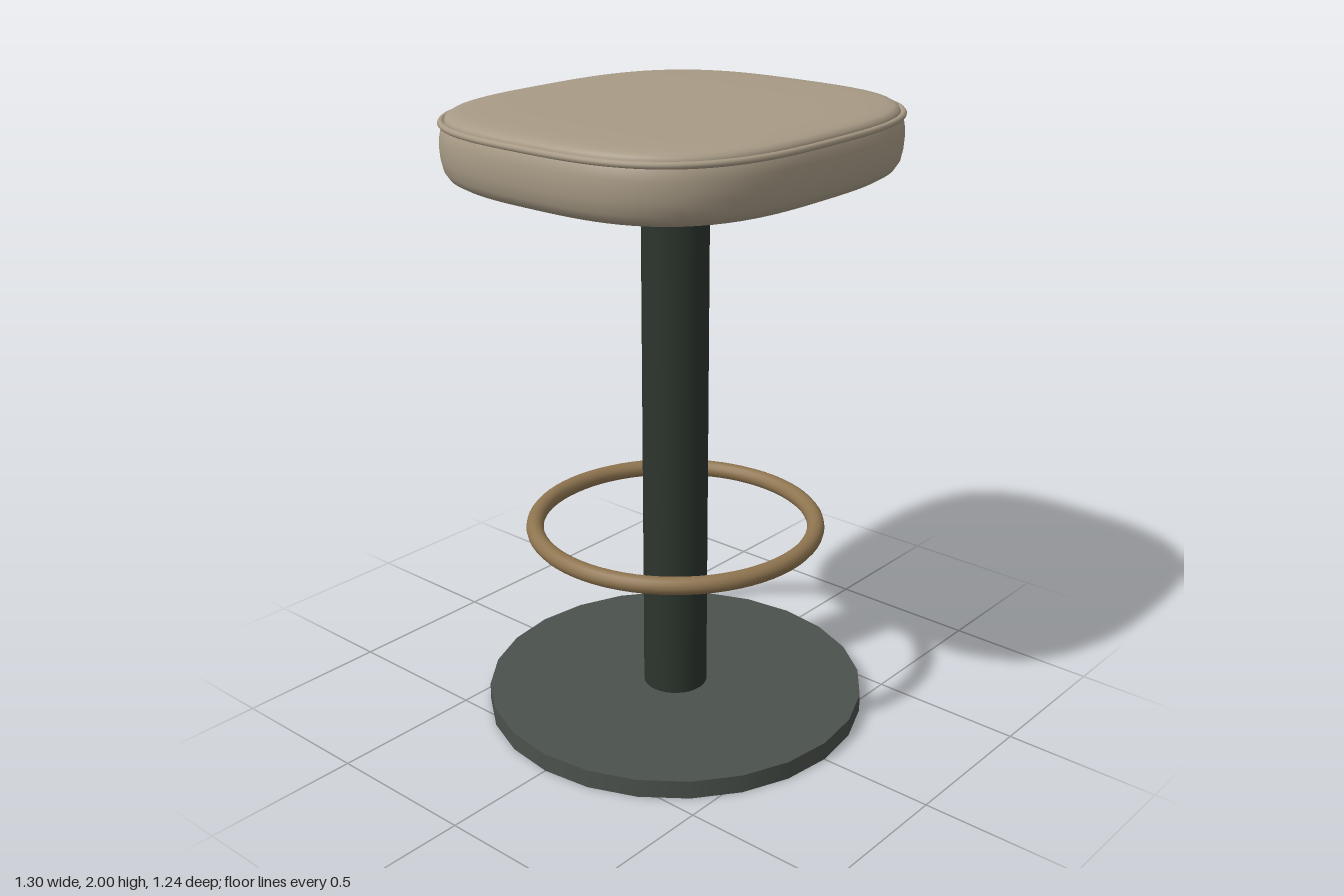
import * as THREE from 'three';
import { mergeVertices } from 'three/addons/utils/BufferGeometryUtils.js';

const HALF_W = 0.65, HALF_D = 0.59, POWER = 3;

// Point on the squarish seat outline, scaled about the centre
function outline(angle, scale = 1) {
  const c = Math.cos(angle), s = Math.sin(angle);
  const r = scale / Math.pow(Math.abs(c) ** POWER + Math.abs(s) ** POWER, 1 / POWER);
  return [HALF_W * r * c, HALF_D * r * s];
}

// Revolve a profile, then push every ring out to the seat outline
function cushion(profile) {
  const geo = new THREE.LatheGeometry(profile.map(([r, y]) => new THREE.Vector2(r, y)), 96);
  const pos = geo.attributes.position;
  for (let i = 0; i < pos.count; i++) {
    const x = pos.getX(i), z = pos.getZ(i);
    const [nx, nz] = outline(Math.atan2(z, x), Math.hypot(x, z));
    pos.setXYZ(i, nx, pos.getY(i), nz);
  }
  geo.deleteAttribute('uv');
  geo.deleteAttribute('normal');
  const merged = mergeVertices(geo, 1e-5);
  merged.computeVertexNormals();
  return merged;
}

export function createModel() {
  const group = new THREE.Group();
  const material = (name, color) => {
    const m = new THREE.MeshStandardMaterial({ color });
    m.name = name;
    return m;
  };
  const leather = material('taupe leather', 0xa89b86);
  const postMetal = material('dark green metal', 0x2c352d);
  const baseMetal = material('grey metal', 0x4b514c);
  const brass = material('aged brass', 0x8f7550);

  const add = (name, geo, mat, y = 0) => {
    const mesh = new THREE.Mesh(geo, mat);
    mesh.name = name;
    mesh.position.y = y;
    group.add(mesh);
    return mesh;
  };

  // Base disc and post
  add('base', new THREE.CylinderGeometry(0.622, 0.622, 0.06, 24), baseMetal, 0.03);
  add('post', new THREE.CylinderGeometry(0.105, 0.105, 1.75, 32), postMetal, 0.925);

  // Foot ring
  add('footRing', new THREE.TorusGeometry(0.455, 0.028, 14, 72), brass, 0.638).rotation.x = Math.PI / 2;

  // Cushion body: flat underside, rounded lower edge, upright side
  add('seatCushion', cushion([
    [0, 1.785], [0.8, 1.785], [0.88, 1.786], [0.925, 1.79], [0.96, 1.803], [0.982, 1.825],
    [0.993, 1.86], [0.996, 1.89], [0.994, 1.92], [0.987, 1.945], [0.972, 1.962],
  ]), leather);

  // Softly domed top panel
  add('seatTop', cushion([
    [0.972, 1.955], [0.973, 1.968], [0.965, 1.979], [0.945, 1.987], [0.9, 1.992],
    [0.8, 1.996], [0.6, 1.999], [0.3, 2], [0, 2],
  ]), leather);

  // Piping along the seam
  const seam = [];
  for (let i = 0; i < 80; i++) {
    const [x, z] = outline((i / 80) * Math.PI * 2, 0.985);
    seam.push(new THREE.Vector3(x, 0, z));
  }
  const curve = new THREE.CatmullRomCurve3(seam, true);
  add('piping', new THREE.TubeGeometry(curve, 128, 0.01, 10, true), leather, 1.962);

  return group;
}
